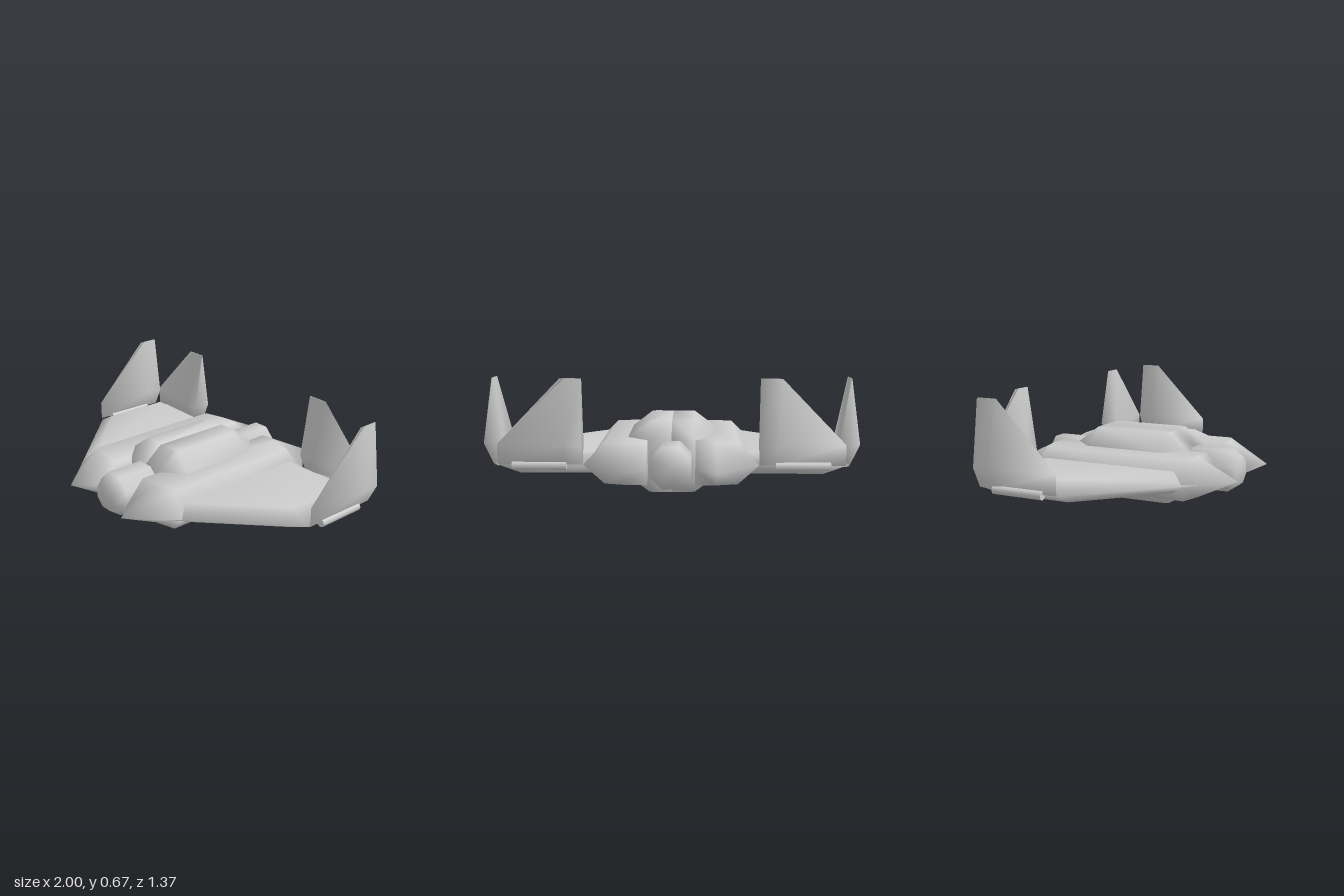
import * as THREE from 'three';

const material = new THREE.MeshStandardMaterial({ color: 0xcccccc, side: THREE.DoubleSide });

// Smooth loft through horizontal outlines: levels are [y, [[x, z], ...]] from bottom to top,
// outlines run counter-clockwise seen from above. side = -1 mirrors across x.
function loft(name, levels, side = 1) {
  const n = levels[0][1].length;
  const pos = [];
  const index = [];
  const face = (a, b, c) => (side > 0 ? index.push(a, b, c) : index.push(a, c, b));
  levels.forEach(([y, ring]) => ring.forEach(([x, z]) => pos.push(x * side, y, z)));
  for (let l = 0; l < levels.length - 1; l++) {
    for (let i = 0; i < n; i++) {
      const a = l * n + i, b = l * n + ((i + 1) % n);
      face(a, b, b + n);
      face(a, b + n, a + n);
    }
  }
  const top = (levels.length - 1) * n;
  for (let i = 1; i < n - 1; i++) {
    face(0, i + 1, i);
    face(top, top + i, top + i + 1);
  }
  const geo = new THREE.BufferGeometry();
  geo.setAttribute('position', new THREE.Float32BufferAttribute(pos, 3));
  geo.setIndex(index);
  geo.computeVertexNormals();
  const mesh = new THREE.Mesh(geo, material);
  mesh.name = name;
  return mesh;
}

// Eight-sided pod along z from a [radius, z] profile
function pod(name, profile, widthScale) {
  const geo = new THREE.LatheGeometry(profile.map(([r, z]) => new THREE.Vector2(r, z)), 8, Math.PI / 8);
  geo.rotateX(Math.PI / 2);
  geo.scale(widthScale, 1, 1);
  geo.translate(0, 0.208, 0);
  const mesh = new THREE.Mesh(geo, material);
  mesh.name = name;
  return mesh;
}

// Diamond-section fin running back along -z, with its hinge rod
function fin(name) {
  const group = new THREE.Group();
  group.name = name;
  const ring = (front, shoulder, t) => [
    [0, -front], [t, -shoulder], [t, -0.455], [-t, -0.455], [-t, -shoulder],
  ];
  group.add(loft('finBlade', [
    [0.21, ring(0, 0.36, 0.004)],
    [0.32, ring(0, 0.36, 0.055)],
    [0.67, ring(0.34, 0.365, 0.003)],
  ]));
  const rod = new THREE.Mesh(new THREE.CylinderGeometry(0.024, 0.024, 0.29, 8), material);
  rod.name = 'hingeRod';
  rod.rotation.x = Math.PI / 2;
  rod.position.set(0, 0.205, -0.225);
  group.add(rod);
  return group;
}

export function createModel() {
  const model = new THREE.Group();
  model.name = 'spacecraft';

  // Half hull outlines
  const hullWide = [[0, 0.34], [0.13, 0.34], [0.245, 0.23], [0.245, -0.23], [0.13, -0.345], [0, -0.345]];
  const hullCap = [[0, 0.23], [0.11, 0.23], [0.13, 0.21], [0.13, -0.21], [0.11, -0.23], [0, -0.23]];
  // Side block outlines
  const blockMid = [[0.13, 0.555], [0.245, 0.685], [0.47, 0.455], [0.47, -0.455], [0.24, -0.685], [0.13, -0.57]];
  const blockCap = [[0.13, 0.455], [0.24, 0.455], [0.36, 0.42], [0.36, -0.42], [0.24, -0.455], [0.13, -0.455]];
  // Wing outlines
  const wingMid = [[0.3, 0.625], [0.935, 0], [0.93, -0.455], [0.3, -0.455]];
  const wingCap = [[0.3, 0.5], [0.82, -0.01], [0.82, -0.4], [0.3, -0.4]];

  for (const side of [1, -1]) {
    const label = side > 0 ? 'left' : 'right';
    model.add(loft(label + 'Hull', [[0.005, hullCap], [0.095, hullWide], [0.32, hullWide], [0.41, hullCap]], side));
    model.add(loft(label + 'SideBlock', [[0.095, blockCap], [0.205, blockMid], [0.32, blockCap]], side));
    model.add(loft(label + 'Wing', [[0.15, wingCap], [0.205, wingMid], [0.265, wingCap]], side));

    const tipFin = fin(label + 'TipFin');
    tipFin.position.x = 0.945 * side;
    model.add(tipFin);

    const rearFin = fin(label + 'RearFin');
    rearFin.position.set(0.925 * side, 0, -0.477);
    rearFin.rotation.y = (side * Math.PI) / 2;
    model.add(rearFin);
  }

  // Cockpit at the front, engine at the back
  model.add(pod('cockpit', [[0, 0.28], [0.124, 0.28], [0.124, 0.555], [0.08, 0.615], [0, 0.615]], 1.08));
  model.add(pod('engine', [[0, -0.565], [0.119, -0.565], [0.119, -0.3], [0, -0.3]], 1));

  return model;
}
